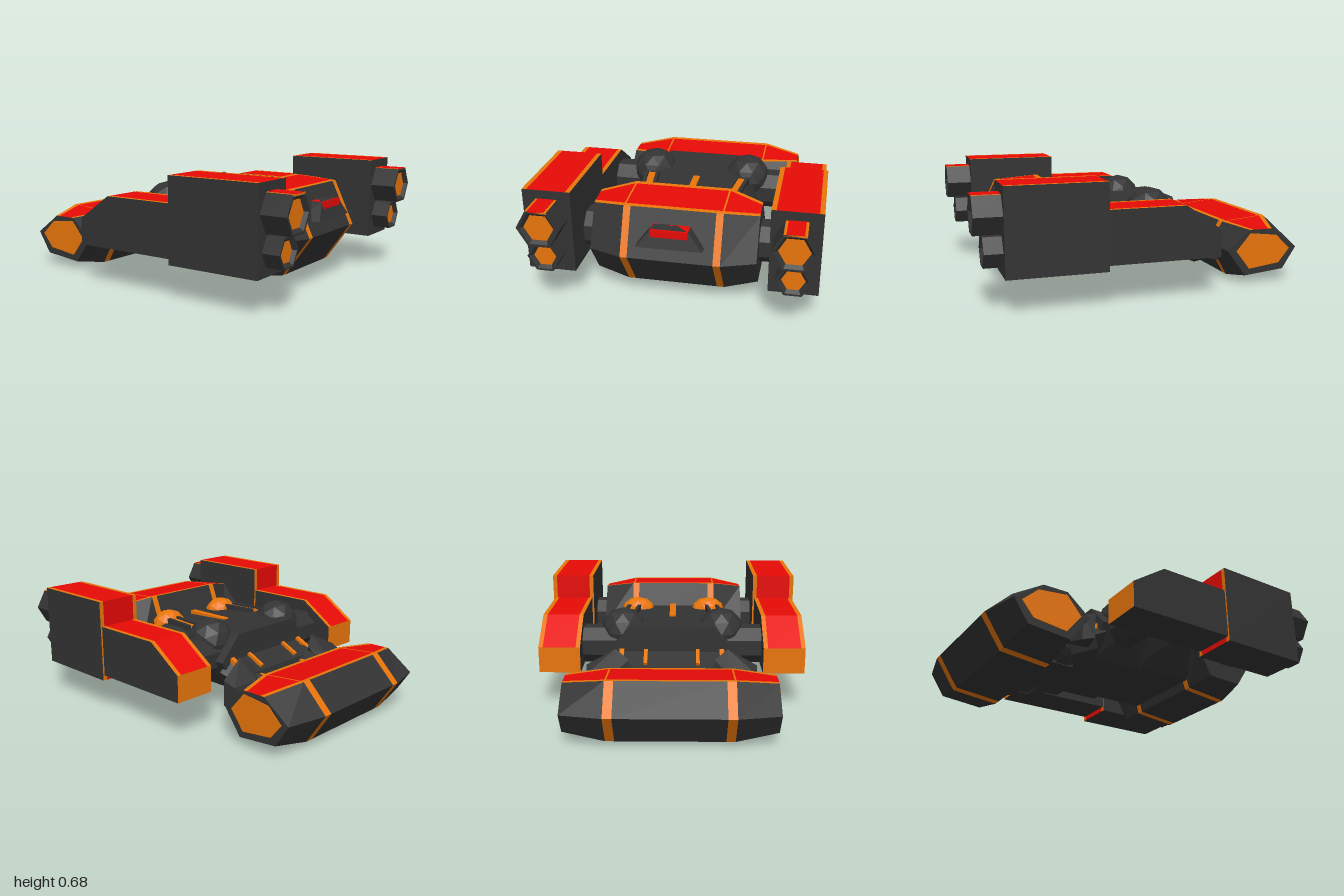
import * as THREE from 'three';
import { ConvexGeometry } from 'three/addons/geometries/ConvexGeometry.js';

const paint = (color) => new THREE.MeshStandardMaterial({ color, flatShading: true });
const DARK = paint(0x333333), RED = paint(0xe60a06), ORANGE = paint(0xe8750a);

export function createModel() {
  const model = new THREE.Group();

  const add = (name, geometry, material, x = 0, y = 0, z = 0) => {
    const mesh = new THREE.Mesh(geometry, material);
    mesh.name = name;
    mesh.position.set(x, y, z);
    model.add(mesh);
    return mesh;
  };
  const box = (name, mat, x0, x1, y0, y1, z0, z1) =>
    add(name, new THREE.BoxGeometry(x1 - x0, y1 - y0, z1 - z0), mat, (x0 + x1) / 2, (y0 + y1) / 2, (z0 + z1) / 2);
  const hull = (name, points) =>
    add(name, new ConvexGeometry(points.map((p) => new THREE.Vector3(...p))), DARK);
  const mirrored = (points) => points.flatMap(([x, y, z]) => [[x, y, z], [x, y, -z]]);

  // Skins clockwise x-y sections along z; pick(station, edge) gives each strip its material
  const loft = (name, sections, stations, pick) => {
    const buckets = new Map();
    const tri = (mat, ...pts) => {
      if (!buckets.has(mat)) buckets.set(mat, []);
      pts.forEach((p) => buckets.get(mat).push(...p));
    };
    const at = (i, j) => [...sections[i][j % sections[i].length], stations[i]];
    const n = sections[0].length, last = stations.length - 1;
    for (let i = 0; i < last; i++) {
      for (let j = 0; j < n; j++) {
        const mat = pick(i, j);
        tri(mat, at(i, j), at(i + 1, j), at(i + 1, j + 1));
        tri(mat, at(i, j), at(i + 1, j + 1), at(i, j + 1));
      }
    }
    for (let j = 1; j < n - 1; j++) {
      tri(DARK, at(0, 0), at(0, j), at(0, j + 1));
      tri(DARK, at(last, 0), at(last, j + 1), at(last, j));
    }
    for (const [mat, data] of buckets) {
      const geometry = new THREE.BufferGeometry();
      geometry.setAttribute('position', new THREE.Float32BufferAttribute(data, 3));
      geometry.computeVertexNormals();
      add(name + (mat === RED ? 'Panel' : mat === ORANGE ? 'Trim' : 'Hull'), geometry, mat);
    }
  };

  // Six-sided cross drums: red top, orange edge trim and bands, tapered ends
  const drum = (name, mid, end, [zIn, zOut, zEnd]) => {
    const withTrim = (s, t) => {
      const a = s[1], b = s[2];
      const lerp = (k) => [a[0] + (b[0] - a[0]) * k, a[1] + (b[1] - a[1]) * k];
      return [s[0], a, lerp(t), lerp(1 - t), b, ...s.slice(3)];
    };
    const m = withTrim(mid, 0.1), e = withTrim(end, 0.18);
    const zLine = zOut - 0.01;
    loft(name, [e, m, m, m, m, m, m, e], [-zEnd, -zOut, -zLine, -zIn, zIn, zLine, zOut, zEnd], (i, j) => {
      if (j === 2) return i === 1 || i === 5 ? ORANGE : RED;
      return j === 1 || j === 3 || [1, 2, 4, 5].includes(i) ? ORANGE : DARK;
    });
  };
  drum('noseDrum',
    [[-1, 0.21], [-0.85, 0.362], [-0.57, 0.337], [-0.485, 0.21], [-0.604, 0], [-0.88, 0.03]],
    [[-0.945, 0.205], [-0.78, 0.325], [-0.635, 0.325], [-0.495, 0.205], [-0.61, 0.05], [-0.86, 0.075]],
    [0.3, 0.35, 0.585]);
  drum('rearDrum',
    [[0.36, 0.34], [0.46, 0.595], [0.735, 0.575], [0.855, 0.32], [0.69, 0.09], [0.42, 0.12]],
    [[0.34, 0.34], [0.53, 0.56], [0.67, 0.545], [0.79, 0.32], [0.66, 0.13], [0.44, 0.14]],
    [0.235, 0.275, 0.462]);

  // Orange end panels on the nose drum
  const panel = new THREE.Shape([[-0.9, 0.2], [-0.81, 0.285], [-0.64, 0.305], [-0.55, 0.2], [-0.635, 0.09], [-0.83, 0.115]]
    .map((p) => new THREE.Vector2(...p)));
  for (const z of [-0.589, 0.581]) {
    add('noseEndPanel', new THREE.ExtrudeGeometry(panel, { depth: 0.008, bevelEnabled: false }), ORANGE, 0, 0, z);
  }

  // Tail light in a wedge housing
  hull('tailLightHousing', mirrored([[0.75, 0.4, 0.19], [0.866, 0.4, 0.18], [0.85, 0.44, 0.14], [0.835, 0.5, 0.1], [0.74, 0.5, 0.1]]));
  box('tailLight', RED, 0.77, 0.848, 0.437, 0.5, -0.102, 0.102);

  // Central body: front block, deck and underside keel
  hull('frontBlock', mirrored([
    [-0.28, 0.15, 0.27], [-0.28, 0.34, 0.38], [-0.28, 0.49, 0.24],
    [-0.08, 0.34, 0.41], [0.06, 0.15, 0.27], [0.04, 0.34, 0.385], [0.04, 0.47, 0.25],
  ]));
  hull('deck', mirrored([
    [0, 0.17, 0.27], [0, 0.34, 0.38], [0, 0.47, 0.3], [0.22, 0.34, 0.43], [0.22, 0.46, 0.33],
    [0.42, 0.34, 0.385], [0.42, 0.45, 0.3], [0.45, 0.17, 0.27],
  ]));
  box('deckStripe', ORANGE, 0.06, 0.37, 0.45, 0.475, -0.02, 0.02);

  // Neck between body and nose drum
  box('neckFront', DARK, -0.62, -0.37, 0.1, 0.25, -0.19, 0.19);
  hull('neckRear', mirrored([
    [-0.42, 0.1, 0.25], [-0.4, 0.22, 0.34], [-0.4, 0.28, 0.28],
    [-0.26, 0.15, 0.28], [-0.26, 0.28, 0.38], [-0.26, 0.35, 0.3],
  ]));

  // Pods: red tops with orange edges
  const podFront = [[-0.35, 0.23], [-0.35, 0.385], [-0.14, 0.53], [0.32, 0.53], [0.32, 0.23]];
  const podRear = [[0.3, 0.2], [0.3, 0.68], [0.85, 0.68], [0.85, 0.2]];
  const pod = (name, s, profile, z0, z1, color) => {
    const t = 0.026;
    const stations = [z0, z0 + t, z1 - t, z1].map((z) => s * z).sort((a, b) => a - b);
    loft(name, stations.map(() => profile), stations, (i, j) =>
      color(j) === RED && i !== 1 ? ORANGE : color(j));
  };

  // Six-sided nozzle with an inset core, axis along x
  const nozzle = (y, z, length, r, core) => {
    const profile = [[r, 0], [r, length], [r * 0.87, length], [core, length - 0.02]].map((p) => new THREE.Vector2(...p));
    add('nozzle', new THREE.LatheGeometry(profile, 6).rotateZ(-Math.PI / 2), DARK, 0.85, y, z);
    add('nozzleCore', new THREE.CylinderGeometry(core, core, 0.02, 6).rotateZ(-Math.PI / 2), ORANGE, 0.85 + length - 0.029, y, z);
  };

  for (const s of [1, -1]) {
    pod('podFront', s, podFront, 0.543, 0.79, (j) => (j === 0 ? ORANGE : j < 3 ? RED : DARK));
    pod('podRear', s, podRear, 0.532, 0.8, (j) => (j < 2 ? RED : DARK));

    const zc = s * 0.667;
    nozzle(0.525, zc, 0.15, 0.118, 0.083);
    nozzle(0.33, zc, 0.1, 0.094, 0.063);
    box('nozzleTrim', ORANGE, 0.85, 1, 0.618, 0.629, zc - 0.059, zc + 0.059);
    box('nozzlePanel', RED, 0.85, 1, 0.622, 0.631, zc - 0.045, zc + 0.045);

    // Struts joining body and pods
    for (const x of [-0.12, 0.57]) {
      const strut = new THREE.CylinderGeometry(0.119, 0.119, 0.24, 8).rotateY(Math.PI / 8).rotateX(Math.PI / 2);
      add('podStrut', strut, DARK, x, 0.347, s * 0.44);
    }

    // Domes, orange lamps and railed deck stripes
    add('deckDome', new THREE.IcosahedronGeometry(0.138, 1), DARK, -0.1, 0.43, s * 0.3);
    const lamp = add('deckLamp', new THREE.IcosahedronGeometry(0.1, 1), ORANGE, 0.345, 0.435, s * 0.235);
    lamp.scale.set(0.92, 0.9, 1.1);
    for (const [name, mat, dz, w, top] of [
      ['sideStripe', ORANGE, 0, 0.023, 0.478], ['stripeRail', DARK, 0.034, 0.011, 0.49], ['stripeRail', DARK, -0.034, 0.011, 0.49],
    ]) {
      const z = s * 0.27 + dz;
      box(name, mat, 0.06, 0.28, 0.43, top, z - w, z + w).rotation.y = s * 0.12;
    }

    // Neck joints, arms, guards and trim
    add('neckJoint', new THREE.IcosahedronGeometry(0.1, 1), DARK, -0.45, 0.18, s * 0.25);
    const arm = add('neckArm', new THREE.CylinderGeometry(0.1, 0.105, 0.16, 8).rotateZ(-Math.PI / 2), DARK, -0.385, 0.2, s * 0.28);
    arm.rotation.set(0, -s * 0.35, 0.35);
    hull('neckGuard', [
      [-0.48, 0.13, 0.48], [-0.48, 0.27, 0.49], [-0.41, 0.15, 0.5], [-0.41, 0.3, 0.5],
      [-0.53, 0.16, 0.32], [-0.5, 0.28, 0.33], [-0.36, 0.16, 0.33], [-0.37, 0.385, 0.33], [-0.41, 0.33, 0.25],
    ].map(([x, y, z]) => [x, y, s * z]));
    box('neckTrim', ORANGE, -0.56, -0.37, 0.24, 0.262, s * 0.185 - 0.009, s * 0.185 + 0.009);
    for (const [z, w] of [[0.155, 0.011], [0.3, 0.014]]) {
      const trim = box('neckTrim', ORANGE, -0.39, -0.27, 0.303, 0.333, s * z - w, s * z + w);
      trim.rotation.z = 0.46;
    }
  }
  return model;
}
